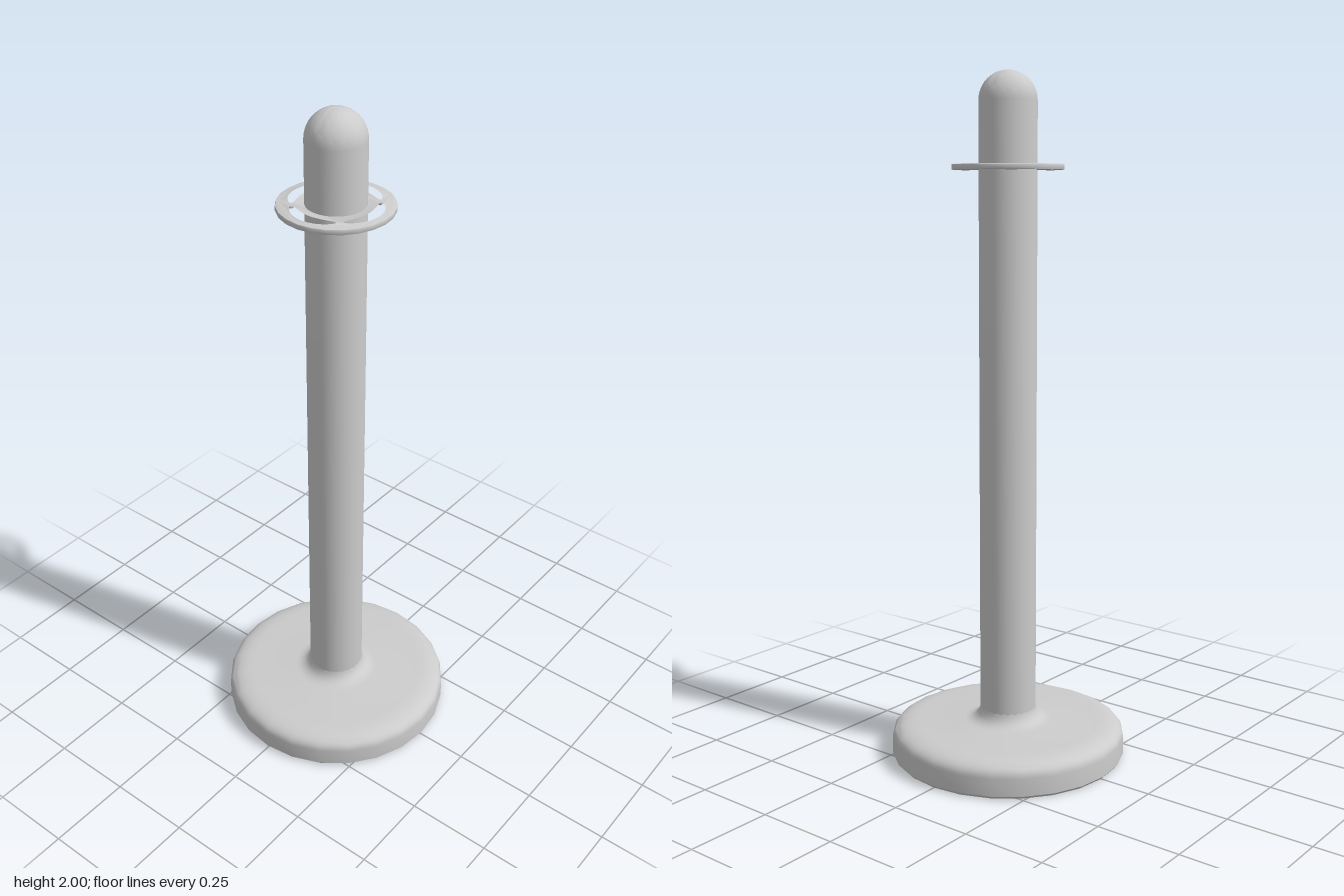
import * as THREE from 'three';
import { toCreasedNormals } from 'three/addons/utils/BufferGeometryUtils.js';

const material = new THREE.MeshStandardMaterial({ color: 0xcccccc });

function part(name, geometry) {
  const mesh = new THREE.Mesh(toCreasedNormals(geometry, 0.7), material);
  mesh.name = name;
  return mesh;
}

function lathe(path, sides) {
  return new THREE.LatheGeometry(path, sides);
}

// Round foot with a soft upper rim and a fillet running up to the pole
function base() {
  const rim = new THREE.CubicBezierCurve(
    new THREE.Vector2(0.347, 0.06), new THREE.Vector2(0.347, 0.085),
    new THREE.Vector2(0.325, 0.1), new THREE.Vector2(0.27, 0.102));
  const fillet = new THREE.QuadraticBezierCurve(
    new THREE.Vector2(0.13, 0.104), new THREE.Vector2(0.086, 0.106), new THREE.Vector2(0.082, 0.15));
  const path = [
    new THREE.Vector2(0, 0), new THREE.Vector2(0.34, 0), new THREE.Vector2(0.347, 0.008),
    ...rim.getPoints(8), ...fillet.getPoints(6),
  ];
  return part('base', lathe(path, 24));
}

// Straight pole closed by a half-sphere
function pole() {
  const r = 0.083, path = [new THREE.Vector2(r, 0.1)];
  for (let i = 0; i <= 12; i++) {
    const a = (i / 12) * Math.PI / 2;
    path.push(new THREE.Vector2(i === 12 ? 0 : r * Math.cos(a), 2 - r + r * Math.sin(a)));
  }
  return part('pole', lathe(path, 48));
}

// Thin collar with four kidney-shaped slots for hooking a rope
function collar() {
  const polar = (deg, r) => {
    const a = THREE.MathUtils.degToRad(deg);
    return new THREE.Vector2(r * Math.sin(a), r * Math.cos(a));
  };
  const outline = [];
  for (let i = 0; i < 24; i++) outline.push(polar(i * 15, 0.16));
  const shape = new THREE.Shape(outline);

  // Half a slot as [angle, radius], mirrored for the other half
  const half = [[0, 0.14], [15, 0.138], [28, 0.133], [38, 0.126], [42, 0.118],
    [38, 0.109], [30, 0.105], [15, 0.102], [0, 0.102]];
  const slot = [...half, ...half.slice(1, -1).reverse().map(([a, r]) => [-a, r])];
  for (let k = 0; k < 4; k++) {
    const points = slot.map(([a, r]) => {
      const p = polar(a + k * 90 + 1.5, r);
      return new THREE.Vector3(p.x, p.y, 0);
    });
    const curve = new THREE.CatmullRomCurve3(points, true);
    const smooth = curve.getPoints(40).slice(0, -1).map((p) => new THREE.Vector2(p.x, p.y));
    shape.holes.push(new THREE.Path(smooth));
  }

  const bevel = 0.003;
  const geometry = new THREE.ExtrudeGeometry(shape, {
    depth: 0.01, bevelEnabled: true, bevelSize: bevel, bevelOffset: -bevel,
    bevelThickness: bevel, bevelSegments: 2,
  });
  geometry.rotateX(-Math.PI / 2);
  geometry.translate(0, 1.729, 0);
  return part('ropeCollar', geometry);
}

export function createModel() {
  const model = new THREE.Group();
  model.name = 'barrierPost';
  model.add(base(), pole(), collar());
  return model;
}
